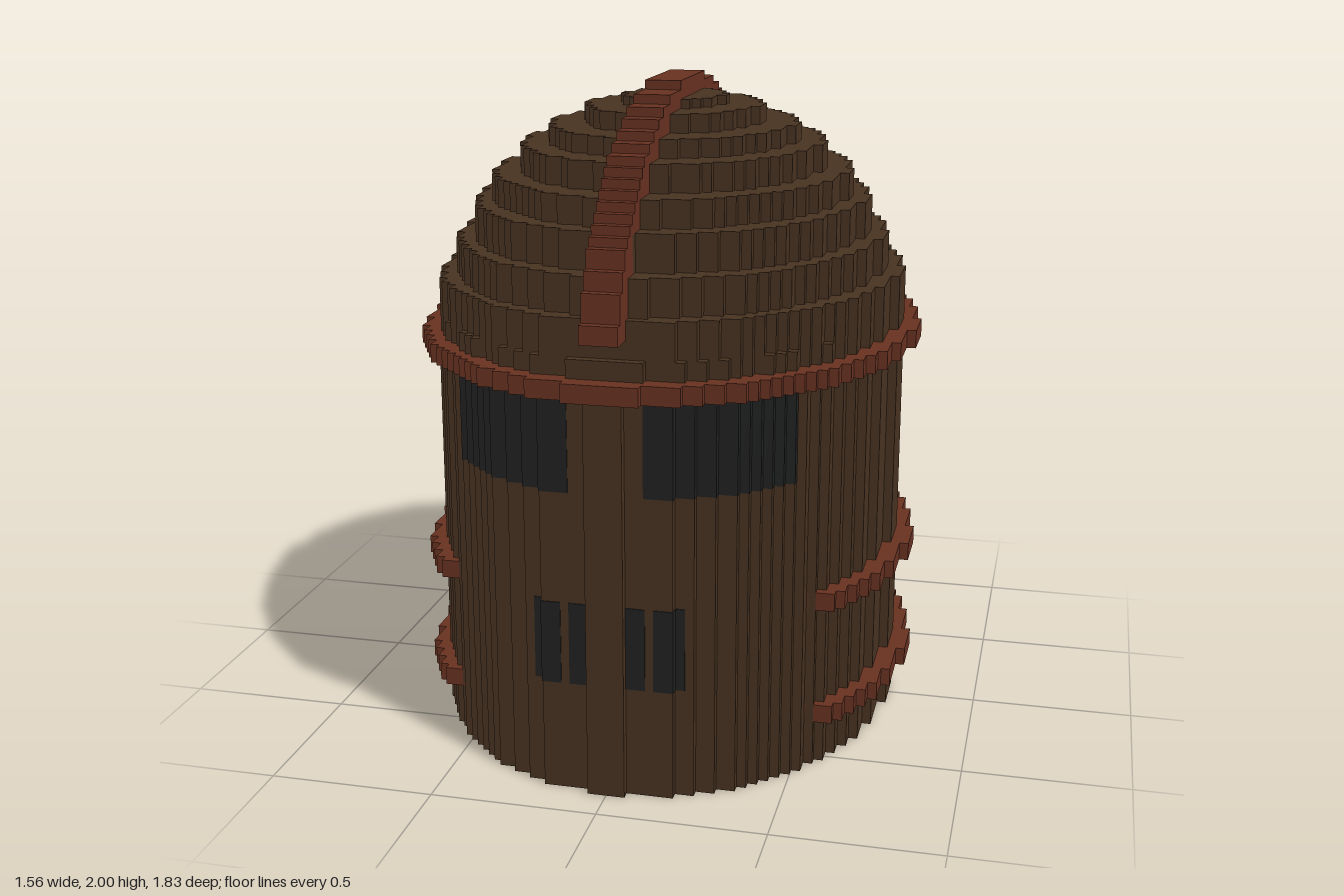
import * as THREE from 'three';

const U = 1 / 36; // size of one block

const wood = new THREE.MeshStandardMaterial({ color: 0x4a3422 });
wood.name = 'darkBrown';
const rust = new THREE.MeshStandardMaterial({ color: 0x6a3322 });
rust.name = 'rustRed';
const black = new THREE.MeshStandardMaterial({ color: 0x222324 });
black.name = 'charcoal';

// Half depth, in blocks, of a stepped ellipse at column k
function halfDepth(a, b, k) {
  const t = (k + 0.5) / a;
  return Math.round(b * Math.sqrt(Math.max(0, 1 - t * t)));
}

// Stepped elliptical slab from y0 to y1 (in blocks), optionally cut off at the front
function slab(a, b, y0, y1, frontLimit = Infinity) {
  const n = Math.round(a);
  const pts = [];
  const edge = (sign, limit) => {
    let last = null;
    for (let i = -n; i < n; i++) {
      const k = sign > 0 ? i : -i - 1;
      const d = Math.min(limit, halfDepth(a, b, k));
      const start = sign > 0 ? k : k + 1;
      if (d !== last) {
        if (last !== null) pts.push(new THREE.Vector2(start * U, -sign * last * U));
        pts.push(new THREE.Vector2(start * U, -sign * d * U));
      }
      last = d;
    }
    pts.push(new THREE.Vector2(sign * n * U, -sign * last * U));
  };
  edge(1, frontLimit);
  edge(-1, Infinity);
  const geo = new THREE.ExtrudeGeometry(new THREE.Shape(pts), { depth: (y1 - y0) * U, bevelEnabled: false });
  geo.rotateX(-Math.PI / 2);
  geo.translate(0, y0 * U, 0);
  return geo;
}

const BODY = [25.6, 31.6];
const BAND = [27.6, 32.85];

export function createModel() {
  const model = new THREE.Group();
  const add = (parent, name, geo, mat) => {
    const mesh = new THREE.Mesh(geo, mat);
    mesh.name = name;
    parent.add(mesh);
    return mesh;
  };

  // Straight wall
  add(model, 'wall', slab(...BODY, 0, 44), wood);

  // Dome tiers: top height, half width, half depth
  const dome = new THREE.Group();
  dome.name = 'dome';
  model.add(dome);
  const tiers = [
    [47, 25.6, 30.9], [51, 25.6, 30.5], [55, 23.6, 28.9], [59, 21.6, 26.6], [62, 19.6, 23.9],
    [65, 16.6, 20.2], [67, 13.6, 16.4], [69, 9.6, 11.6], [70, 5.6, 7],
  ];
  let base = 44;
  for (const [top, a, b] of tiers) {
    add(dome, 'domeTier', slab(a, b, base, top), wood);
    base = top;
  }

  // Full upper band and two lower bands open at the front
  add(model, 'upperBand', slab(...BAND, 43, 45), rust);
  for (const y of [5, 18]) add(model, 'lowerBand', slab(...BAND, y, y + 2, 20), rust);

  // Crest running front to back over the dome
  const crest = new THREE.Group();
  crest.name = 'crest';
  model.add(crest);
  for (let y = 49; y < 72; y++) {
    const t = (y + 0.5 - 45) / 27;
    const d = Math.round(33.3 * Math.sqrt(1 - t * t));
    const geo = new THREE.BoxGeometry(4 * U, U, 2 * d * U);
    add(crest, 'crestStep', geo, rust).position.y = (y + 0.5) * U;
  }

  // Dark openings following the wall steps: x from, x to, y from, y to
  const openings = [
    ['window', 4, 18, 33, 43],
    ['innerSlit', 2, 4, 12, 21],
    ['outerSlit', 5, 8, 12, 21],
  ];
  for (const face of [1, -1]) {
    for (const side of [1, -1]) {
      for (const [name, x0, x1, y0, y1] of openings) {
        const group = new THREE.Group();
        group.name = name;
        model.add(group);
        for (let k = x0; k < x1; k++) {
          const d = halfDepth(...BODY, k);
          const inner = Math.min(d - 0.2, halfDepth(...BODY, k + 1));
          const depth = (d - inner) * U + 0.003;
          const geo = new THREE.BoxGeometry(U + 0.003, (y1 - y0) * U, depth);
          add(group, name + 'Strip', geo, black).position.set(
            side * (k + 0.5) * U, ((y0 + y1) / 2) * U, face * (inner * U + depth / 2));
        }
      }
    }
  }
  return model;
}
